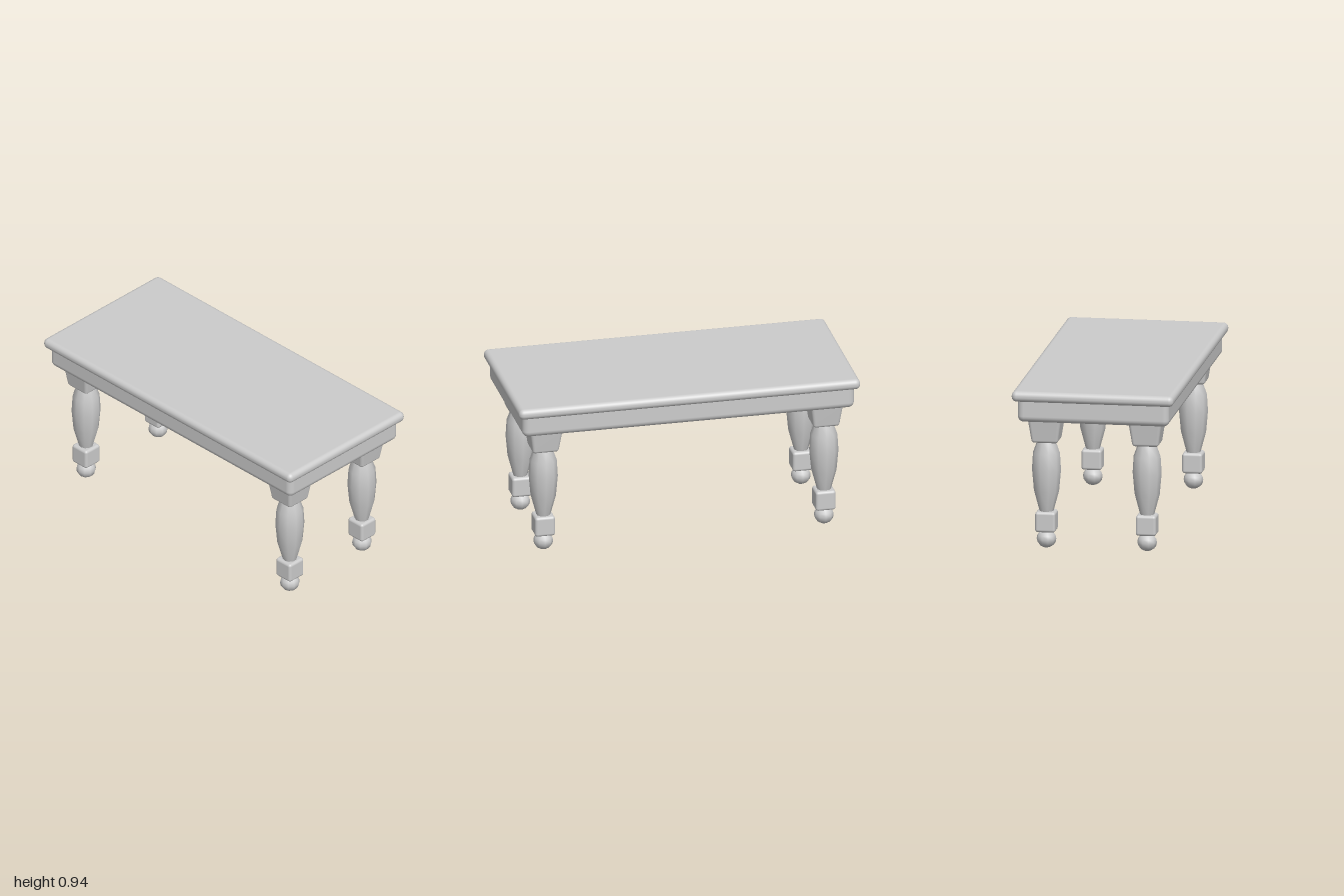
import * as THREE from 'three';
import { RoundedBoxGeometry } from 'three/addons/geometries/RoundedBoxGeometry.js';
import { mergeVertices } from 'three/addons/utils/BufferGeometryUtils.js';

const material = new THREE.MeshStandardMaterial({ color: 0xcccccc });

function add(parent, name, geometry, y = 0) {
  const mesh = new THREE.Mesh(geometry, material);
  mesh.name = name;
  mesh.position.y = y;
  parent.add(mesh);
  return mesh;
}

// Rounded box whose width grows linearly from bottom to top
function taperedBlock(bottom, top, height, radius) {
  const box = new RoundedBoxGeometry(bottom, height, bottom, 3, radius);
  box.deleteAttribute('uv');
  box.deleteAttribute('normal');
  const geometry = mergeVertices(box);
  const p = geometry.attributes.position;
  for (let i = 0; i < p.count; i++) {
    const s = THREE.MathUtils.lerp(1, top / bottom, p.getY(i) / height + 0.5);
    p.setX(i, p.getX(i) * s);
    p.setZ(i, p.getZ(i) * s);
  }
  geometry.computeVertexNormals();
  return geometry;
}

export function createModel() {
  const table = new THREE.Group();
  table.name = 'table';

  // Top slab with a rounded rim, and the solid apron below it
  add(table, 'tableTop', new RoundedBoxGeometry(2, 0.062, 0.936, 3, 0.029), 0.911);
  add(table, 'apron', new RoundedBoxGeometry(1.944, 0.175, 0.876, 3, 0.036), 0.8445);

  // Leg parts, shared by all four legs
  const blockGeometry = taperedBlock(0.15, 0.21, 0.2, 0.016);
  const profile = [
    [0.038, 0.2], [0.041, 0.215], [0.073, 0.333], [0.084, 0.457],
    [0.078, 0.555], [0.053, 0.624], [0.048, 0.64],
  ].map(([r, y]) => new THREE.Vector2(r, y));
  const turnedGeometry = new THREE.LatheGeometry(profile, 10);
  const cubeGeometry = new RoundedBoxGeometry(0.117, 0.119, 0.117, 3, 0.016);
  const ballGeometry = new THREE.SphereGeometry(0.057, 10, 8);
  ballGeometry.rotateY(Math.PI / 2);
  ballGeometry.scale(1, 0.92, 1);

  for (const x of [-0.822, 0.822]) {
    for (const z of [-0.291, 0.291]) {
      const leg = new THREE.Group();
      leg.name = (z > 0 ? 'front' : 'back') + (x > 0 ? 'Left' : 'Right') + 'Leg';
      leg.position.set(x, 0, z);
      add(leg, 'legBlock', blockGeometry, 0.723);
      add(leg, 'turnedLeg', turnedGeometry);
      add(leg, 'ankleCube', cubeGeometry, 0.156);
      add(leg, 'footBall', ballGeometry, 0.0525);
      table.add(leg);
    }
  }
  return table;
}
